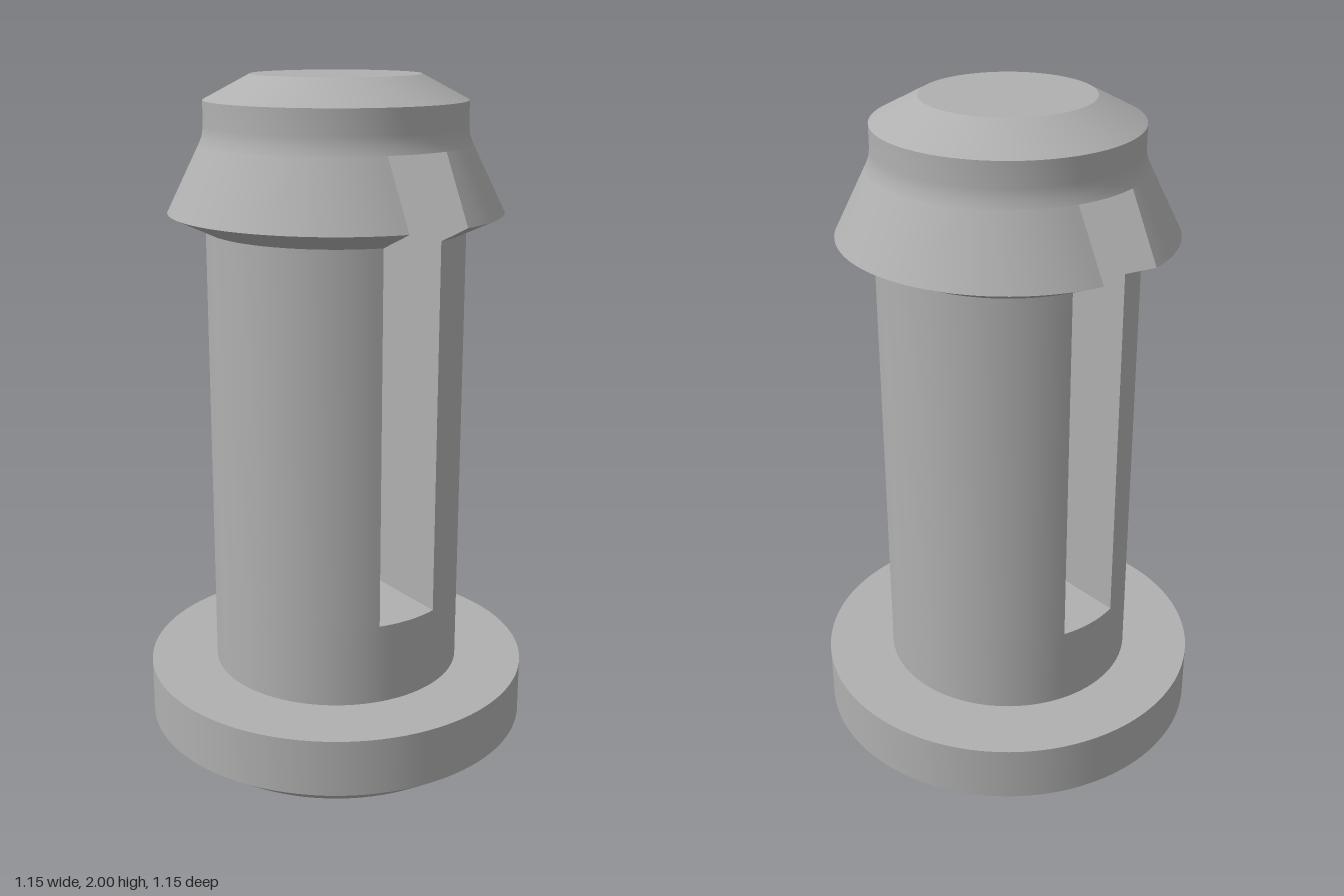
import * as THREE from 'three';

const W = 0.097;           // half width of the slot
const Y0 = 0.48, Y1 = 1.81; // slot floor and roof
const R = 0.373, ROOF_R = 0.386;
const SEG = 96;

export function createModel() {
  const model = new THREE.Group();
  model.name = 'slottedPushPin';
  const grey = new THREE.MeshStandardMaterial({ color: 0xb0b0b0 });
  grey.name = 'light grey';

  const add = (geometry, name, parent = model) => {
    const mesh = new THREE.Mesh(geometry, grey);
    mesh.name = name;
    parent.add(mesh);
    return mesh;
  };
  const vec = (p) => new THREE.Vector2(p[0], p[1]);

  // Full rings, one lathe per band so the edges between them stay sharp
  const turn = (name, ...points) => add(new THREE.LatheGeometry(points.map(vec), SEG), name);
  turn('footUnderside', [0, 0], [0.48, 0]);
  turn('footChamfer', [0.48, 0], [0.575, 0.07]);
  turn('footRim', [0.575, 0.07], [0.575, 0.24]);
  turn('footTop', [0.575, 0.24], [R, 0.24]);
  turn('lowerShank', [R, 0.24], [R, Y0]);
  turn('headNeck', [ROOF_R, Y1], [0.377, 1.832], [R, 1.86], [R, 1.93]);
  turn('headChamfer', [R, 1.93], [0.24, 2]);
  turn('headTop', [0.24, 2], [0, 2]);

  // Floor and roof of the slot: strips with rounded ends
  const strip = (r) => {
    const a = Math.asin(W / r);
    const s = new THREE.Shape();
    s.absarc(0, 0, r, Math.PI / 2 - a, Math.PI / 2 + a, false);
    s.absarc(0, 0, r, 1.5 * Math.PI - a, 1.5 * Math.PI + a, false);
    return new THREE.ShapeGeometry(s, 12);
  };
  add(strip(R).rotateX(-Math.PI / 2).translate(0, Y0, 0), 'slotFloor');
  add(strip(ROOF_R).rotateX(Math.PI / 2).translate(0, Y1, 0), 'slotRoof');

  // Two prongs beside the slot: lathe bands trimmed to the slot plane
  const profile = [[R, Y0], [R, 1.57], [0.48, 1.62], [ROOF_R, Y1]];
  const bandNames = ['prongShank', 'barbUnderside', 'barbFlare'];
  const trimmedBand = (from, to) => {
    const g = new THREE.LatheGeometry([vec(from), vec(to)], SEG / 2, 0, Math.PI);
    const p = g.attributes.position;
    for (let i = 0; i < p.count; i++) {
      const r = Math.hypot(p.getX(i), p.getZ(i));
      const a = Math.asin(W / r);
      const t = Math.floor(i / 2) / (SEG / 2);
      const phi = a + t * (Math.PI - 2 * a);
      p.setX(i, r * Math.sin(phi));
      p.setZ(i, r * Math.cos(phi));
    }
    g.computeVertexNormals();
    return g;
  };

  // Flat inner wall, outlined by the profile where the slot cuts it
  const edge = profile.map(([r, y]) => new THREE.Vector2(Math.sqrt(r * r - W * W), y));
  const mirrored = edge.map((p) => new THREE.Vector2(-p.x, p.y)).reverse();
  const wall = new THREE.ShapeGeometry(new THREE.Shape([...edge, ...mirrored]));
  wall.rotateY(-Math.PI / 2).translate(W, 0, 0);

  for (const side of ['left', 'right']) {
    const prong = new THREE.Group();
    prong.name = side + 'Prong';
    bandNames.forEach((name, i) => add(trimmedBand(profile[i], profile[i + 1]), name, prong));
    add(wall, 'slotWall', prong);
    if (side === 'right') prong.rotation.y = Math.PI;
    model.add(prong);
  }
  return model;
}
